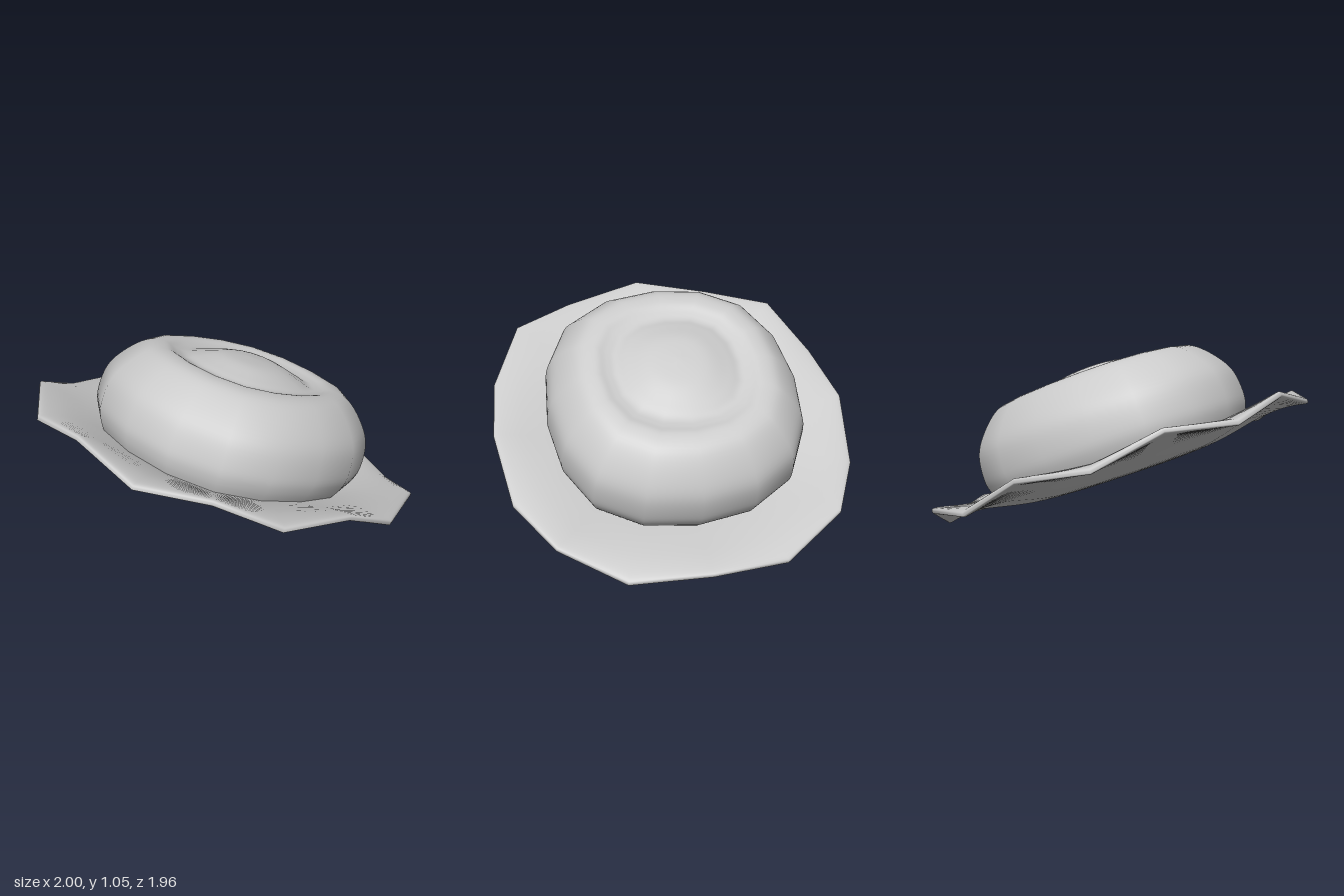
import * as THREE from 'three';
import { mergeVertices } from 'three/addons/utils/BufferGeometryUtils.js';

const SIDES = 16;
// Quarter outline of the slightly squared ring, from front (+z) to side (+x)
const OUT_X = [0, 0.43, 0.77, 0.95, 1];
const OUT_Z = [1.054, 0.99, 0.775, 0.42, 0];

// Unit outline point for corner i, mirrored into all four quadrants
function outline(i) {
  const k = i % SIDES;
  const half = k > 8 ? SIDES - k : k;
  const q = half > 4 ? 8 - half : half;
  return [OUT_X[q] * (k > 8 ? -1 : 1), OUT_Z[q] * (half > 4 ? -1 : 1)];
}

// Revolves a smooth profile, then fits each column to the outline
// and drops every second corner of the brim edge to make it wavy
function revolve(name, profile, samples) {
  const curve = new THREE.SplineCurve(profile.map(([r, h]) => new THREE.Vector2(r, h)));
  const pts = curve.getPoints(samples);
  pts.forEach((p) => { p.x = Math.max(0, p.x); });
  const geo = new THREE.LatheGeometry(pts, SIDES);
  const pos = geo.attributes.position;
  for (let i = 0; i <= SIDES; i++) {
    const [ox, oz] = outline(i);
    pts.forEach((p, j) => {
      const t = Math.max(0, (p.x - 0.68) / 0.32);
      const drop = i % 2 ? 0.075 * t * t : 0;
      pos.setXYZ(i * pts.length + j, ox * p.x, p.y - drop, oz * p.x);
    });
  }
  geo.deleteAttribute('uv');
  geo.deleteAttribute('normal');
  const merged = mergeVertices(geo, 1e-5);
  merged.computeVertexNormals();
  const mesh = new THREE.Mesh(merged, new THREE.MeshStandardMaterial({ color: 0xcccccc, side: THREE.DoubleSide }));
  mesh.name = name;
  return mesh;
}

export function createModel() {
  const hat = new THREE.Group();
  hat.name = 'hat';

  // Brim: shallow bowl underneath, thin rolled edge, upper face back to the crown
  hat.add(revolve('brim', [
    [0, -0.15], [0.25, -0.148], [0.5, -0.13], [0.74, -0.078], [0.9, -0.038], [0.985, -0.02],
    [1, -0.002], [0.985, 0.014], [0.9, -0.003], [0.76, -0.045], [0.62, -0.085],
  ], 50));

  // Crown: bulging wall, raised rim, ring-shaped dip and low central dome
  hat.add(revolve('crown', [
    [0.64, -0.1], [0.685, -0.02], [0.706, 0.07], [0.692, 0.21], [0.632, 0.32], [0.54, 0.415],
    [0.45, 0.442], [0.385, 0.425], [0.335, 0.418], [0.27, 0.442], [0.15, 0.482], [0, 0.495],
  ], 55));

  // The whole hat tips backwards
  hat.rotation.x = -0.38;
  hat.position.y = 0.46;

  const model = new THREE.Group();
  model.add(hat);
  return model;
}
